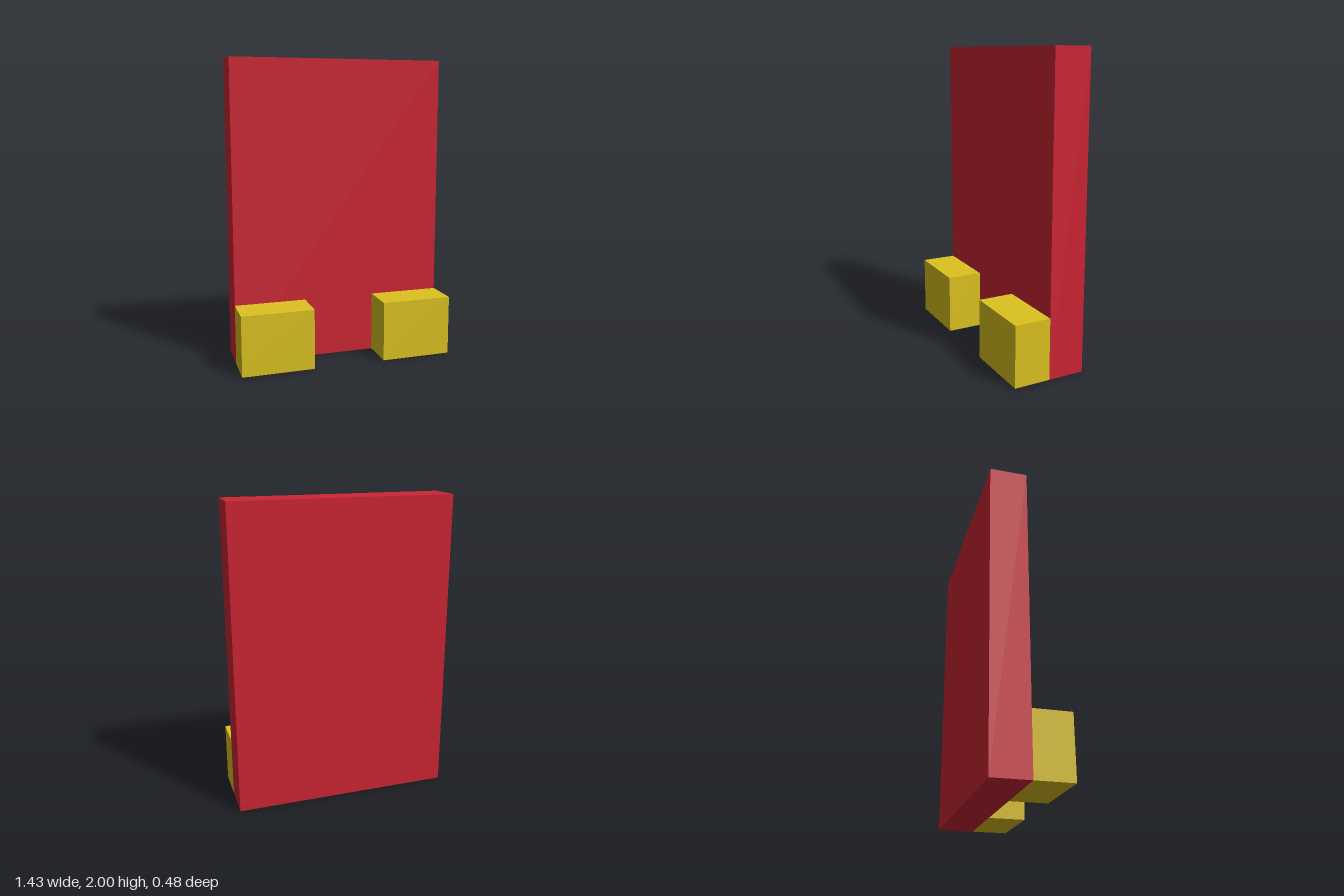
import * as THREE from 'three';

export function createModel() {
  const model = new THREE.Group();
  const red = new THREE.MeshStandardMaterial({ color: 0xcc2533, flatShading: true });
  const yellow = new THREE.MeshStandardMaterial({ color: 0xdcc220, flatShading: true });

  const width = 1.434, height = 2, depth = 0.24;
  const footWidth = 0.477, footHeight = 0.4;

  // Box standing on the ground at (x, z)
  function addBox(name, w, h, d, x, z, material) {
    const mesh = new THREE.Mesh(new THREE.BoxGeometry(w, h, d), material);
    mesh.name = name;
    mesh.position.set(x, h / 2, z);
    model.add(mesh);
  }

  // Upright slab
  addBox('panel', width, height, depth, 0, -depth / 2, red);

  // Two feet in front, flush with the panel's sides
  for (const [name, side] of [['leftFoot', 1], ['rightFoot', -1]]) {
    addBox(name, footWidth, footHeight, depth, side * (width - footWidth) / 2, depth / 2, yellow);
  }

  return model;
}
